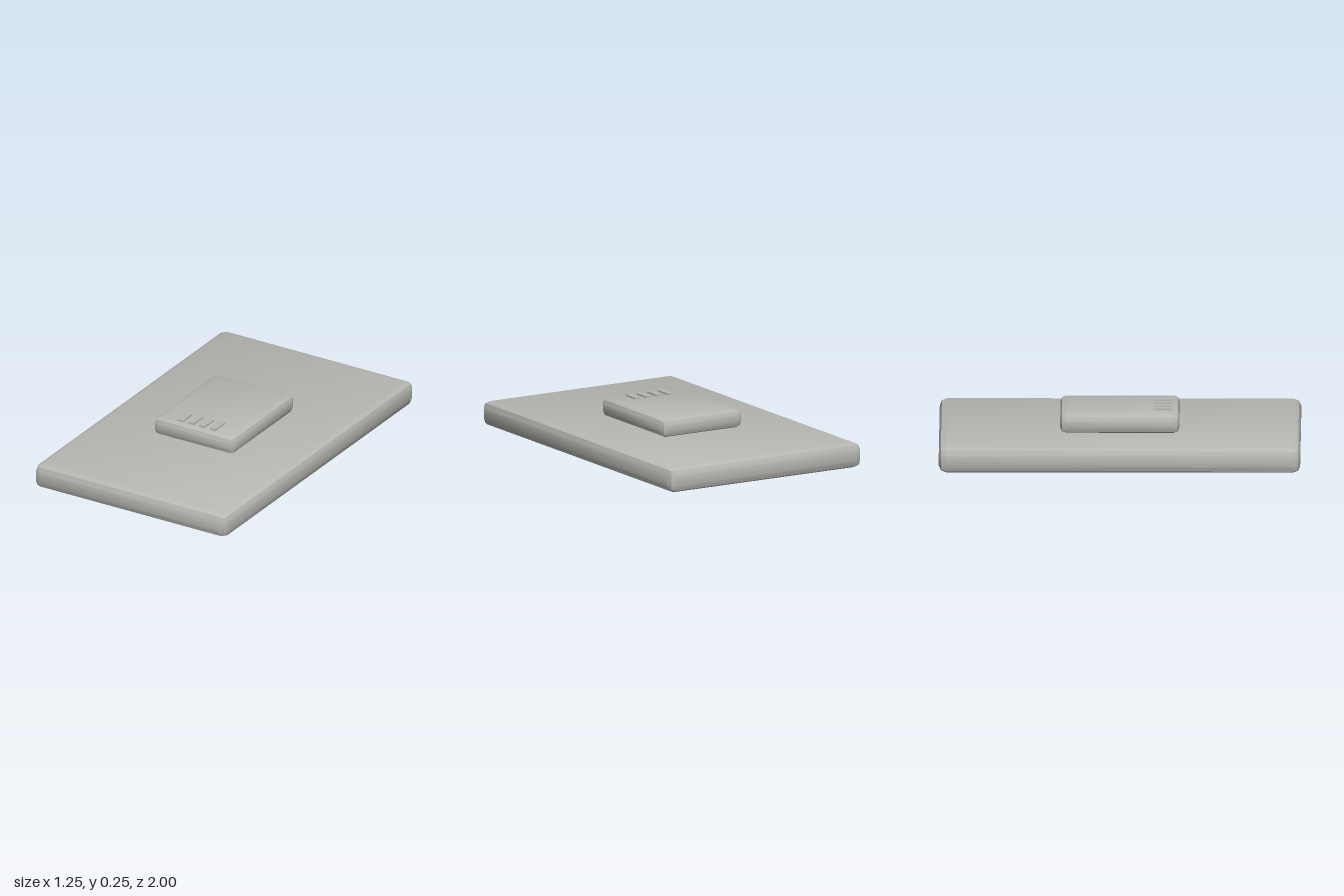
import * as THREE from 'three';
import { toCreasedNormals } from 'three/addons/utils/BufferGeometryUtils.js';
import { RoundedBoxGeometry } from 'three/addons/geometries/RoundedBoxGeometry.js';

export function createModel() {
  const group = new THREE.Group();
  group.name = 'wallPlate';

  const grey = new THREE.MeshStandardMaterial({ color: 0xb8b8b4 });
  grey.name = 'warm grey';

  const add = (name, geometry, x, y, z) => {
    const mesh = new THREE.Mesh(geometry, grey);
    mesh.name = name;
    mesh.position.set(x, y, z);
    group.add(mesh);
  };

  // Block with two-step bevels, creased along the middle of each bevel
  const bevelled = (w, h, d, r) =>
    toCreasedNormals(new RoundedBoxGeometry(w, h, d, 1, r), Math.PI / 6);

  // Large slab and the raised block at its centre
  add('basePlate', bevelled(1.25, 0.14, 2, 0.04), 0, 0.07, 0);
  add('raisedBlock', bevelled(0.52, 0.103, 0.66, 0.032), 0, 0.1915, 0);

  // Row of four grip ridges near the front of the block
  const ridge = new THREE.BoxGeometry(0.035, 0.02, 0.1);
  for (let i = 0; i < 4; i++) {
    add('gripRidge' + (i + 1), ridge, (i - 1.5) * 0.07, 0.243, 0.24);
  }

  return group;
}
